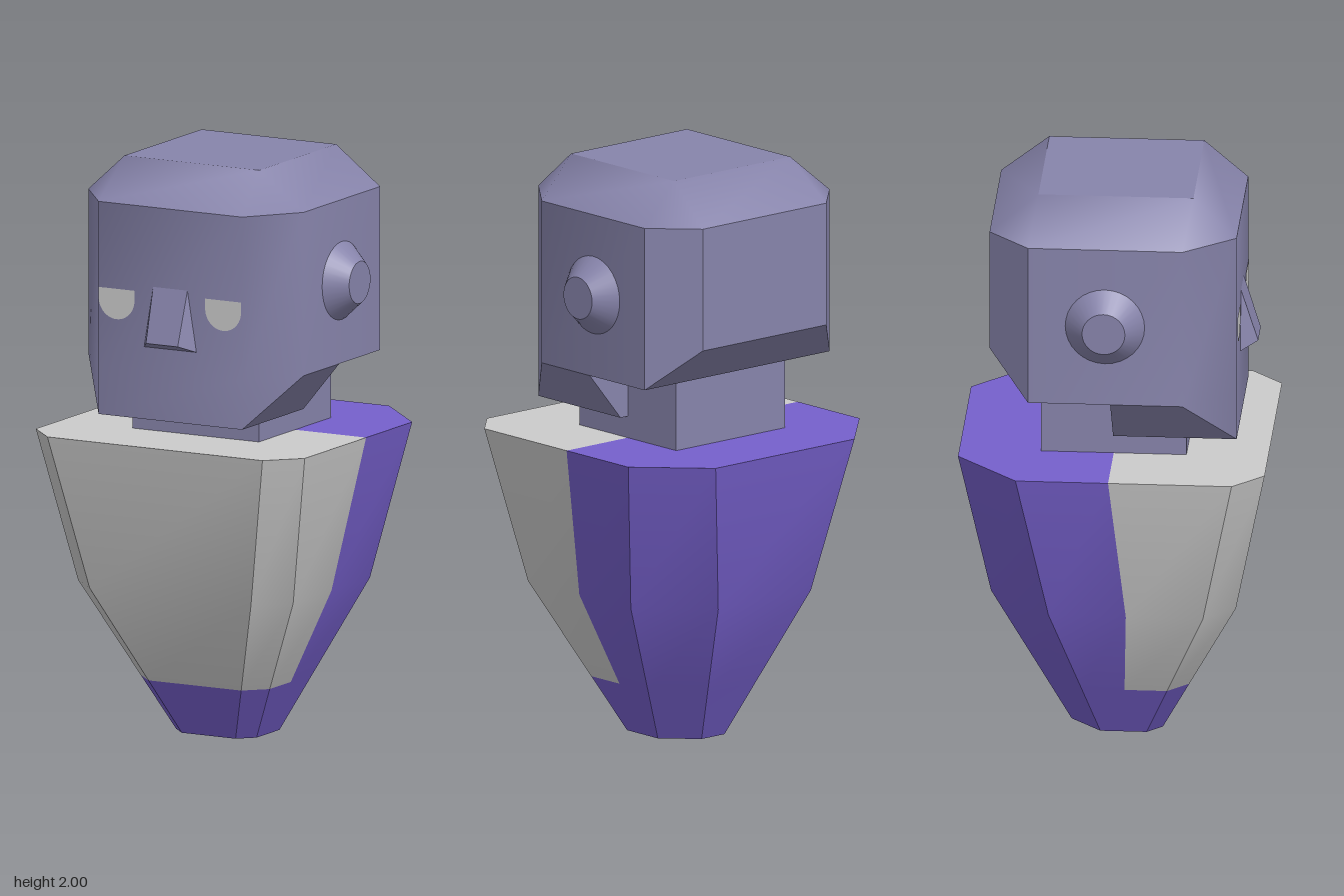
import * as THREE from 'three';
import { mergeVertices, toCreasedNormals } from 'three/addons/utils/BufferGeometryUtils.js';
import { ConvexGeometry } from 'three/addons/geometries/ConvexGeometry.js';

const skin = new THREE.MeshStandardMaterial({ color: 0x8784ab });
const purple = new THREE.MeshStandardMaterial({ color: 0x7660cc });
const grey = new THREE.MeshStandardMaterial({ color: 0xcccccc });

// Fan-triangulates convex faces whose corners run counter-clockwise from outside
function facesToGeometry(faces) {
  const pos = [];
  for (const f of faces)
    for (let i = 1; i < f.length - 1; i++) pos.push(...f[0], ...f[i], ...f[i + 1]);
  const g = new THREE.BufferGeometry();
  g.setAttribute('position', new THREE.Float32BufferAttribute(pos, 3));
  g.computeVertexNormals();
  return g;
}

function smooth(g) {
  g.deleteAttribute('normal');
  const m = mergeVertices(g);
  m.computeVertexNormals();
  return m;
}

// Joins successive outlines, listed from bottom to top
function strip(paths) {
  const faces = [];
  for (let r = 0; r < paths.length - 1; r++)
    for (let i = 0; i < paths[r].length - 1; i++)
      faces.push([paths[r][i], paths[r][i + 1], paths[r + 1][i + 1], paths[r + 1][i]]);
  return faces;
}

// A face and its mirror image across x = 0
const both = (f) => [f, f.map(([x, y, z]) => [-x, y, z]).reverse()];

export function createModel() {
  const model = new THREE.Group();
  const add = (name, geometry, material, parent = model) => {
    const mesh = new THREE.Mesh(geometry, material);
    mesh.name = name;
    parent.add(mesh);
    return mesh;
  };

  // Torso rings: height, half width, front corner, back corner, colour split
  const rings = [
    [0, 0.157, 0.105, 0.052, 0.03],
    [0.19, 0.252, 0.181, 0.109, 0.037],
    [0.525, 0.42, 0.315, 0.21, 0.053],
    [1.055, 0.525, 0.42, 0.315, 0],
  ];
  const front = rings.map(([y, h, f, b, s]) =>
    [[-h, y, s], [-h, y, f], [-f, y, h], [f, y, h], [h, y, f], [h, y, s]]);
  const back = rings.map(([y, h, f, b, s]) =>
    [[h, y, s], [h, y, -b], [b, y, -h], [-b, y, -h], [-h, y, -b], [-h, y, s]]);
  const torso = new THREE.Group();
  torso.name = 'torso';
  model.add(torso);
  const crease = (faces) => toCreasedNormals(facesToGeometry(faces), 0.5);
  add('torsoFront', crease([...strip(front.slice(1)), front[3]]), grey, torso);
  add('torsoBack', crease([
    ...strip(back), ...strip(front.slice(0, 2)), back[3],
    [...front[0], ...back[0].slice(1, 5)].reverse(),
  ]), purple, torso);

  // Neck
  add('neck', new THREE.BoxGeometry(0.494, 0.26, 0.494).translate(0, 1.18, 0), skin);

  // Head: softly shaded face and cheeks
  const head = new THREE.Group();
  head.name = 'head';
  model.add(head);
  const brow = 1.865, jaw = 1.3, chin = 1.13;
  const cheeks = (y) => [[-0.42, y, -0.28], [-0.42, y, 0.245], [-0.28, y, 0.42],
    [0.28, y, 0.42], [0.42, y, 0.245], [0.42, y, -0.28]];
  add('face', smooth(facesToGeometry([
    ...strip([cheeks(jaw), cheeks(brow)]),
    [[-0.28, chin, 0.42], [0.28, chin, 0.42], [0.28, jaw, 0.42], [-0.28, jaw, 0.42]],
    ...both([[0.28, chin, 0.42], [0.42, jaw, 0.245], [0.28, jaw, 0.42]]),
  ])), skin, head);

  // Back of the head, underside and jaw, with hard edges
  add('skullBackAndJaw', facesToGeometry([
    [[0.28, 1.44, -0.42], [-0.28, 1.44, -0.42], [-0.28, brow, -0.42], [0.28, brow, -0.42]],
    ...both([[0.42, jaw, -0.28], [0.28, 1.44, -0.42], [0.28, brow, -0.42], [0.42, brow, -0.28]]),
    [[0.42, jaw, -0.28], [-0.42, jaw, -0.28], [-0.28, 1.44, -0.42], [0.28, 1.44, -0.42]],
    [[-0.42, jaw, -0.28], [0.42, jaw, -0.28], [0.42, jaw, 0], [-0.42, jaw, 0]],
    [[0.28, chin, 0], [-0.28, chin, 0], [-0.42, jaw, 0], [0.42, jaw, 0]],
    [[-0.28, chin, 0], [0.28, chin, 0], [0.28, chin, 0.42], [-0.28, chin, 0.42]],
    ...both([[0.28, chin, 0.42], [0.28, chin, 0], [0.42, jaw, 0], [0.42, jaw, 0.245]]),
  ]), skin, head);

  // Sloping crown around a flat top
  const x = 0.263, zf = 0.272, zb = -0.255;
  add('crown', smooth(facesToGeometry([
    [[-0.28, brow, 0.42], [0.28, brow, 0.42], [x, 2, zf], [-x, 2, zf]],
    [[0.28, brow, -0.42], [-0.28, brow, -0.42], [-x, 2, zb], [x, 2, zb]],
    ...both([[0.42, brow, 0.245], [0.42, brow, -0.28], [x, 2, zb], [x, 2, zf]]),
    ...both([[0.28, brow, 0.42], [0.42, brow, 0.245], [x, 2, zf]]),
    ...both([[0.42, brow, -0.28], [0.28, brow, -0.42], [x, 2, zb]]),
  ])), skin, head);
  add('headTop', facesToGeometry([[[-x, 2, zf], [x, 2, zf], [x, 2, zb], [-x, 2, zb]]]), skin, head);

  // Wedge nose
  const nose = [];
  for (const s of [-1, 1])
    for (const [px, py, pz] of [[0.067, 1.59, 0.42], [0.062, 1.405, 0.478], [0.102, 1.38, 0.42]])
      nose.push(new THREE.Vector3(s * px, py, pz));
  add('nose', new ConvexGeometry(nose), skin, head);

  // Flat-topped round eyes and tapered ear discs
  const eye = new THREE.Shape();
  eye.moveTo(0.07, 0.035);
  eye.lineTo(-0.07, 0.035);
  eye.lineTo(-0.07, 0);
  eye.absarc(0, 0, 0.07, Math.PI, Math.PI * 2, false);
  for (const s of [-1, 1]) {
    const side = s > 0 ? 'left' : 'right';
    add(side + 'Eye', new THREE.ShapeGeometry(eye, 16), grey, head).position.set(s * 0.208, 1.535, 0.423);
    const ear = add(side + 'Ear', new THREE.CylinderGeometry(0.073, 0.135, 0.07, 32), skin, head);
    ear.rotation.z = -s * Math.PI / 2;
    ear.position.set(s * 0.455, 1.585, -0.018);
  }
  return model;
}
